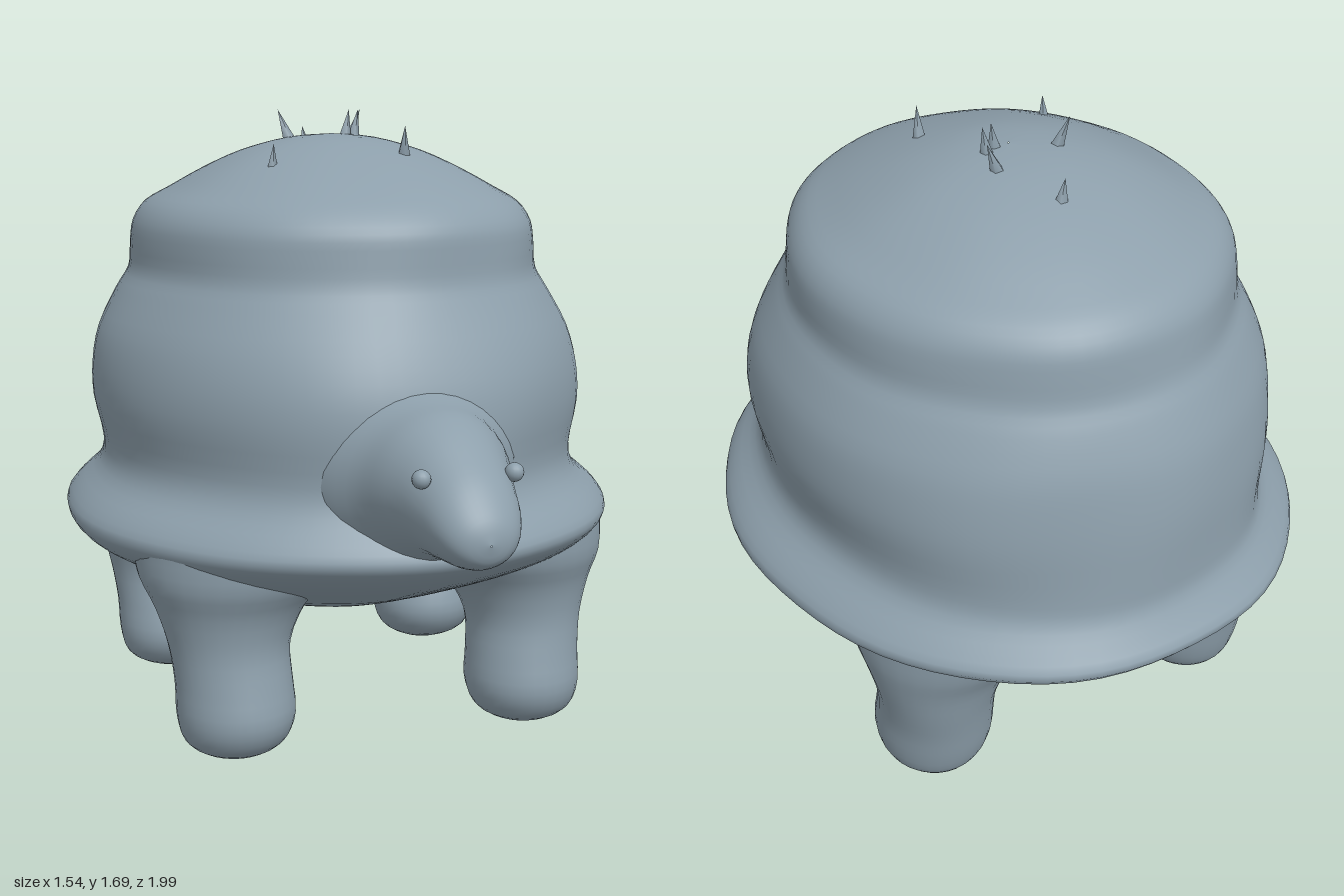
import * as THREE from 'three';

// Smooth skin through oval sections [t, a0, a1, b0, b1]: extents in x (a) and in the
// second axis (b), stacked along y or z. 'lump' adds a gentle hand-modelled waviness.
function loft(sections, axis, segs, steps, lump = 0) {
  const at = (k, u) => {
    const n = sections.length - 1;
    const i = Math.min(Math.floor(u), n - 1), f = u - i;
    const p = (j) => sections[Math.max(0, Math.min(n, j))][k];
    const m0 = (p(i + 1) - p(i - 1)) / 2, m1 = (p(i + 2) - p(i)) / 2;
    const f2 = f * f, f3 = f2 * f;
    return (2 * f3 - 3 * f2 + 1) * p(i) + (f3 - 2 * f2 + f) * m0
      + (3 * f2 - 2 * f3) * p(i + 1) + (f3 - f2) * m1;
  };
  const pos = [], idx = [];
  const rows = (sections.length - 1) * steps;
  for (let r = 0; r <= rows; r++) {
    const [t, a0, a1, b0, b1] = [0, 1, 2, 3, 4].map((k) => at(k, r / steps));
    for (let s = 0; s < segs; s++) {
      const w = (s / segs) * Math.PI * 2;
      const wave = 1 + lump * (Math.sin(5 * w + 5 * t) + 0.7 * Math.sin(9 * w - 8 * t + 1));
      const a = (a0 + a1) / 2 + Math.cos(w) * wave * (a1 - a0) / 2;
      const d = Math.sin(w) * wave * (b1 - b0) / 2, b = (b0 + b1) / 2;
      if (axis === 'y') pos.push(a, t, b - d);
      else pos.push(a, b + d, t);
      if (r < rows) {
        const i = r * segs + s, j = r * segs + (s + 1) % segs;
        idx.push(i, j, j + segs, i, j + segs, i + segs);
      }
    }
  }
  const g = new THREE.BufferGeometry();
  g.setAttribute('position', new THREE.Float32BufferAttribute(pos, 3));
  g.setIndex(idx);
  g.computeVertexNormals();
  return g;
}

export function createModel() {
  const model = new THREE.Group();
  model.name = 'turtle';
  const clay = new THREE.MeshStandardMaterial({ color: 0x8d9fab });
  clay.name = 'blue grey clay';
  const add = (name, geometry, parent = model) => {
    const mesh = new THREE.Mesh(geometry, clay);
    mesh.name = name;
    parent.add(mesh);
    return mesh;
  };

  // Shell, rim and belly: height, half width, back z, front z
  const body = [
    [0.315, 0.002, -0.152, -0.148], [0.32, 0.24, -0.42, 0.08], [0.37, 0.4, -0.55, 0.24],
    [0.44, 0.55, -0.68, 0.42], [0.5, 0.67, -0.81, 0.56], [0.55, 0.74, -0.93, 0.65],
    [0.6, 0.768, -0.995, 0.7], [0.65, 0.735, -0.965, 0.68], [0.71, 0.67, -0.925, 0.635],
    [0.78, 0.652, -0.915, 0.61], [0.9, 0.675, -0.905, 0.61], [1.0, 0.675, -0.89, 0.595],
    [1.1, 0.655, -0.865, 0.555], [1.2, 0.605, -0.82, 0.5], [1.26, 0.57, -0.785, 0.47],
    [1.33, 0.565, -0.77, 0.46], [1.39, 0.555, -0.755, 0.45], [1.44, 0.52, -0.715, 0.41],
    [1.48, 0.45, -0.65, 0.35], [1.53, 0.36, -0.55, 0.24], [1.58, 0.25, -0.42, 0.1],
    [1.615, 0.12, -0.28, -0.03], [1.625, 0.002, -0.152, -0.148],
  ].map(([y, x, back, front]) => [y, -x, x, back, front]);
  add('shell', loft(body, 'y', 72, 3, 0.005));

  // Neck, head and snout: z, half width, bottom y, top y
  const head = [
    [0.45, 0.31, 0.52, 1.06], [0.56, 0.255, 0.55, 1.02], [0.64, 0.205, 0.59, 0.998],
    [0.72, 0.175, 0.625, 0.985], [0.79, 0.148, 0.645, 0.955], [0.86, 0.127, 0.65, 0.91],
    [0.92, 0.11, 0.655, 0.865], [0.965, 0.085, 0.668, 0.815], [0.99, 0.05, 0.69, 0.775],
    [1.0, 0.002, 0.73, 0.734],
  ].map(([z, x, low, high]) => [z, -x, x, low, high]);
  add('head', loft(head, 'z', 36, 3));

  // Legs: y, inner x, outer x, back z, front z
  const frontLeg = [
    [0.005, 0.413, 0.417, 0.268, 0.272], [0.02, 0.34, 0.49, 0.19, 0.35],
    [0.06, 0.28, 0.55, 0.14, 0.42], [0.13, 0.255, 0.57, 0.115, 0.45],
    [0.22, 0.26, 0.572, 0.115, 0.435], [0.32, 0.26, 0.585, 0.095, 0.42],
    [0.42, 0.21, 0.615, 0.04, 0.435], [0.5, 0.13, 0.65, -0.04, 0.47],
    [0.58, 0.08, 0.66, -0.1, 0.48],
  ];
  const backLeg = [
    [0.005, 0.413, 0.417, -0.502, -0.498], [0.02, 0.34, 0.49, -0.58, -0.42],
    [0.06, 0.28, 0.55, -0.625, -0.345], [0.13, 0.255, 0.57, -0.65, -0.312],
    [0.22, 0.26, 0.572, -0.668, -0.335], [0.32, 0.26, 0.585, -0.69, -0.365],
    [0.42, 0.21, 0.61, -0.715, -0.34], [0.5, 0.13, 0.63, -0.75, -0.27],
    [0.58, 0.08, 0.64, -0.77, -0.2],
  ];
  for (const [side, label] of [[1, 'left'], [-1, 'right']]) {
    for (const [name, rows] of [['FrontLeg', frontLeg], ['BackLeg', backLeg]]) {
      const placed = rows.map(([y, a, b, back, front]) =>
        side > 0 ? [y, a, b, back, front] : [y, -b, -a, back, front]);
      add(label + name, loft(placed, 'y', 32, 3));
    }
    add(label + 'Eye', new THREE.SphereGeometry(0.023, 16, 12))
      .position.set(side * 0.117, 0.865, 0.86);
  }

  // Tiny spikes on the crown: base x, y, z and tip x, y, z
  const spikes = new THREE.Group();
  spikes.name = 'spikes';
  model.add(spikes);
  for (const [bx, by, bz, tx, ty, tz] of [
    [0.0, 1.57, -0.4, -0.01, 1.64, -0.4], [0.08, 1.6, -0.24, 0.115, 1.69, -0.245],
    [-0.11, 1.6, -0.195, -0.14, 1.69, -0.21], [0.065, 1.61, -0.16, 0.08, 1.69, -0.16],
    [0.035, 1.61, -0.145, 0.05, 1.69, -0.15], [-0.24, 1.52, 0.07, -0.235, 1.605, 0.075],
    [0.13, 1.56, 0.075, 0.125, 1.65, 0.1],
  ]) {
    const base = new THREE.Vector3(bx, by, bz);
    const dir = new THREE.Vector3(tx, ty, tz).sub(base);
    const g = new THREE.ConeGeometry(0.02, dir.length(), 5).translate(0, dir.length() / 2, 0);
    const spike = add('spike', g, spikes);
    spike.position.copy(base);
    spike.quaternion.setFromUnitVectors(new THREE.Vector3(0, 1, 0), dir.normalize());
  }
  return model;
}
